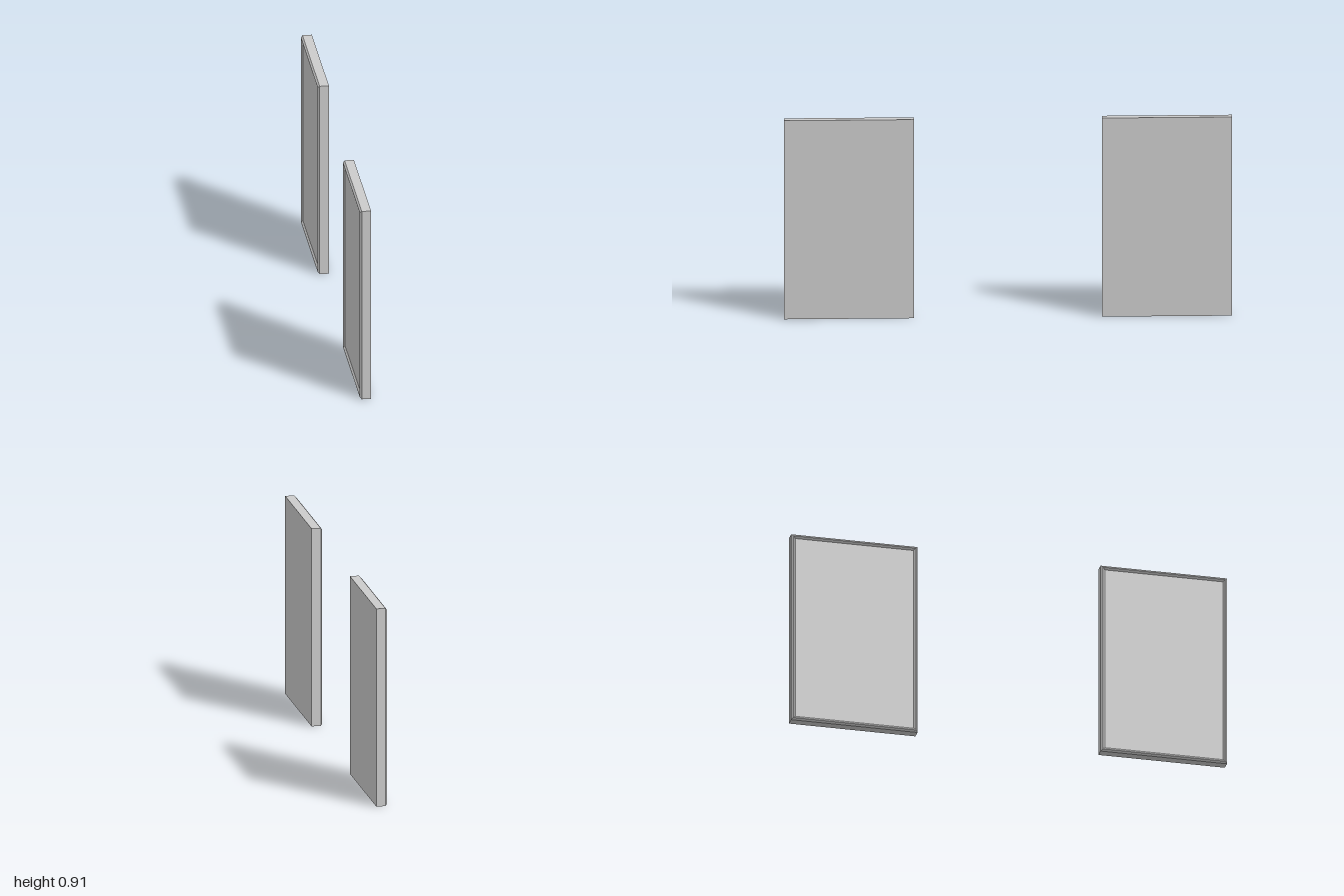
import * as THREE from 'three';

const HEIGHT = 0.913, WIDTH = 0.58, CENTRE_Z = 0.71;

// Panel outline at depth x, shrunk by inset, as four corners [x, y, z]
function ring([x, inset]) {
  const h = HEIGHT / 2 - inset, w = WIDTH / 2 - inset;
  return [[x, -h, -w], [x, -h, w], [x, h, w], [x, h, -w]];
}

// Slab with a bevelled ridge framing a shallow sunken field on its -x face
function panelGeometry() {
  const rings = [
    [0.025, 0],       // flat face
    [-0.017, 0],      // edge of the slab
    [-0.025, 0.008],  // outer bevel
    [-0.025, 0.01],   // crest of the frame
    [-0.017, 0.019],  // inner bevel down to the field
  ].map(ring);
  const positions = [];
  const quad = (a, b, c, d) => positions.push(...a, ...b, ...c, ...a, ...c, ...d);

  for (let i = 0; i < rings.length - 1; i++) {
    for (let j = 0; j < 4; j++) {
      const k = (j + 1) % 4;
      quad(rings[i][j], rings[i][k], rings[i + 1][k], rings[i + 1][j]);
    }
  }
  const [a, b, c, d] = rings[0];
  quad(d, c, b, a);
  quad(...rings[rings.length - 1]);

  const geometry = new THREE.BufferGeometry();
  geometry.setAttribute('position', new THREE.Float32BufferAttribute(positions, 3));
  geometry.computeVertexNormals();
  return geometry;
}

export function createModel() {
  const model = new THREE.Group();
  model.name = 'panelPair';
  const material = new THREE.MeshStandardMaterial({ color: 0xcccccc, flatShading: true });
  const geometry = panelGeometry();

  // Two matching panels, one at the front and one at the back
  for (const [name, side] of [['frontPanel', 1], ['backPanel', -1]]) {
    const panel = new THREE.Mesh(geometry, material);
    panel.name = name;
    panel.position.set(0, HEIGHT / 2, side * CENTRE_Z);
    model.add(panel);
  }
  return model;
}
